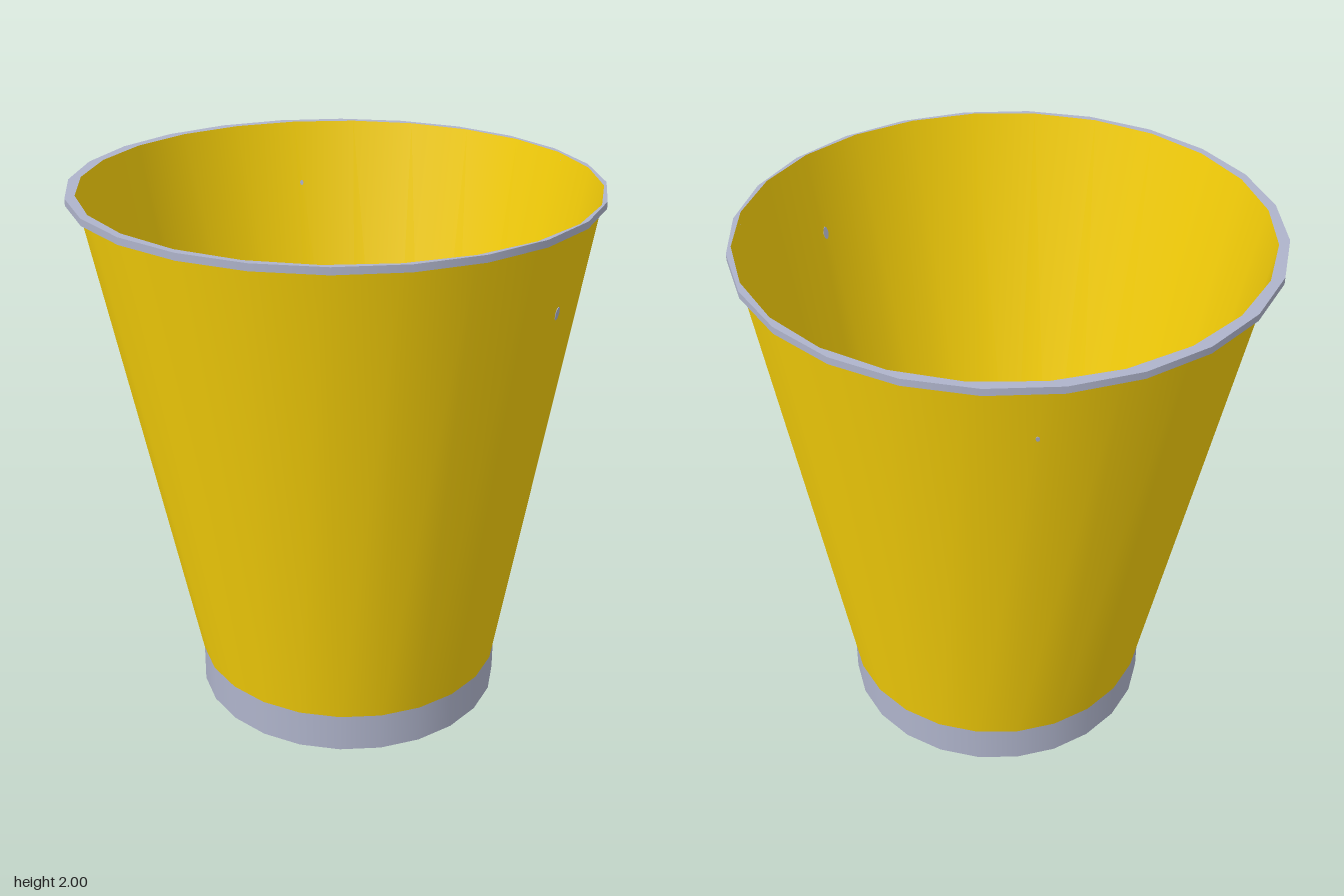
import * as THREE from 'three';

const SIDES = 24;
const H = 2, BASE_H = 0.145, RIM_H = 0.025;
const BASE = { x: 0.032, z: -0.036, r: 0.581 };   // foot circle
const MOUTH = { x: 0.013, z: -0.004, r: 0.914 };  // opening circle
const RIM = { x: 0, z: 0, r: 0.94, turn: 0.042 };

const material = (color) => new THREE.MeshStandardMaterial({ color, side: THREE.DoubleSide });

// Open wall between two circles that need not share an axis
function wall(low, high, y0, y1, turn = 0) {
  const g = new THREE.CylinderGeometry(high.r, low.r, y1 - y0, SIDES, 1, true);
  g.rotateY(turn);
  const p = g.attributes.position;
  for (let i = 0; i < p.count; i++) {
    const c = p.getY(i) > 0 ? high : low;
    p.setX(i, p.getX(i) + c.x);
    p.setZ(i, p.getZ(i) + c.z);
  }
  return g.translate(0, (y0 + y1) / 2, 0);
}

function circlePoints({ x, z, r, turn = 0 }) {
  return Array.from({ length: SIDES }, (_, i) => {
    const a = turn + (i / SIDES) * Math.PI * 2;
    return new THREE.Vector2(x + r * Math.cos(a), -z + r * Math.sin(a));
  });
}

// Flat horizontal disc, or a ring when an inner circle is given
function plate(outer, y, inner = null) {
  const shape = new THREE.Shape(circlePoints(outer));
  if (inner) shape.holes.push(new THREE.Path(circlePoints(inner)));
  return new THREE.ShapeGeometry(shape).rotateX(-Math.PI / 2).translate(0, y, 0);
}

// Tiny plug lying flush in one facet of the body; angle in degrees from +x towards -z
function plug(angle, y, radius, stretch) {
  const t = (y - BASE_H) / (H - BASE_H);
  const mix = (key) => THREE.MathUtils.lerp(BASE[key], MOUTH[key], t);
  const step = (Math.PI * 2) / SIDES;
  const a = THREE.MathUtils.degToRad(angle);
  const facet = (Math.floor(a / step) + 0.5) * step;
  const d = (mix('r') * Math.cos(step / 2)) / Math.cos(a - facet);
  const slope = Math.atan2(MOUTH.r - BASE.r, H - BASE_H);
  return new THREE.CylinderGeometry(radius, radius, 0.004, 8)
    .rotateZ(-Math.PI / 2)
    .scale(1, stretch, 1)
    .rotateZ(-slope)
    .rotateY(facet)
    .translate(mix('x') + d * Math.cos(a), y, mix('z') - d * Math.sin(a));
}

export function createModel() {
  const model = new THREE.Group();
  model.name = 'bucket';
  const group = (name) => {
    const g = new THREE.Group();
    g.name = name;
    model.add(g);
    return g;
  };
  const add = (name, geometry, mat, parent = model) => {
    const mesh = new THREE.Mesh(geometry, mat);
    mesh.name = name;
    parent.add(mesh);
  };
  const yellow = material(0xf8d109);
  const steel = material(0xafb4cb);
  const grey = material(0xcccccc);

  // Tapered body, a thin shell
  add('body', wall(BASE, MOUTH, BASE_H, H), yellow);

  // Foot band with a plain grey inside and floor
  const foot = group('foot');
  const lining = { ...BASE, r: BASE.r - 0.002 };
  add('footBand', wall(BASE, BASE, 0, BASE_H), steel, foot);
  add('underside', plate(BASE, 0), steel, foot);
  add('footLining', wall(lining, lining, 0.002, BASE_H), grey, foot);
  add('floor', plate(lining, 0.002), grey, foot);

  // Lip around the mouth
  const rim = group('rim');
  add('rimEdge', wall(RIM, RIM, H - RIM_H, H, RIM.turn), steel, rim);
  add('rimTop', plate(RIM, H, MOUTH), steel, rim);
  add('rimUnderside', plate(RIM, H - RIM_H, { ...MOUTH, r: MOUTH.r - 0.004 }), steel, rim);

  // Tiny rivets set in the wall
  add('leftRivet', plug(13.9, 1.69, 0.011, 2.3), steel);
  add('rightRivet', plug(149, 1.76, 0.007, 1.5), steel);

  return model;
}
